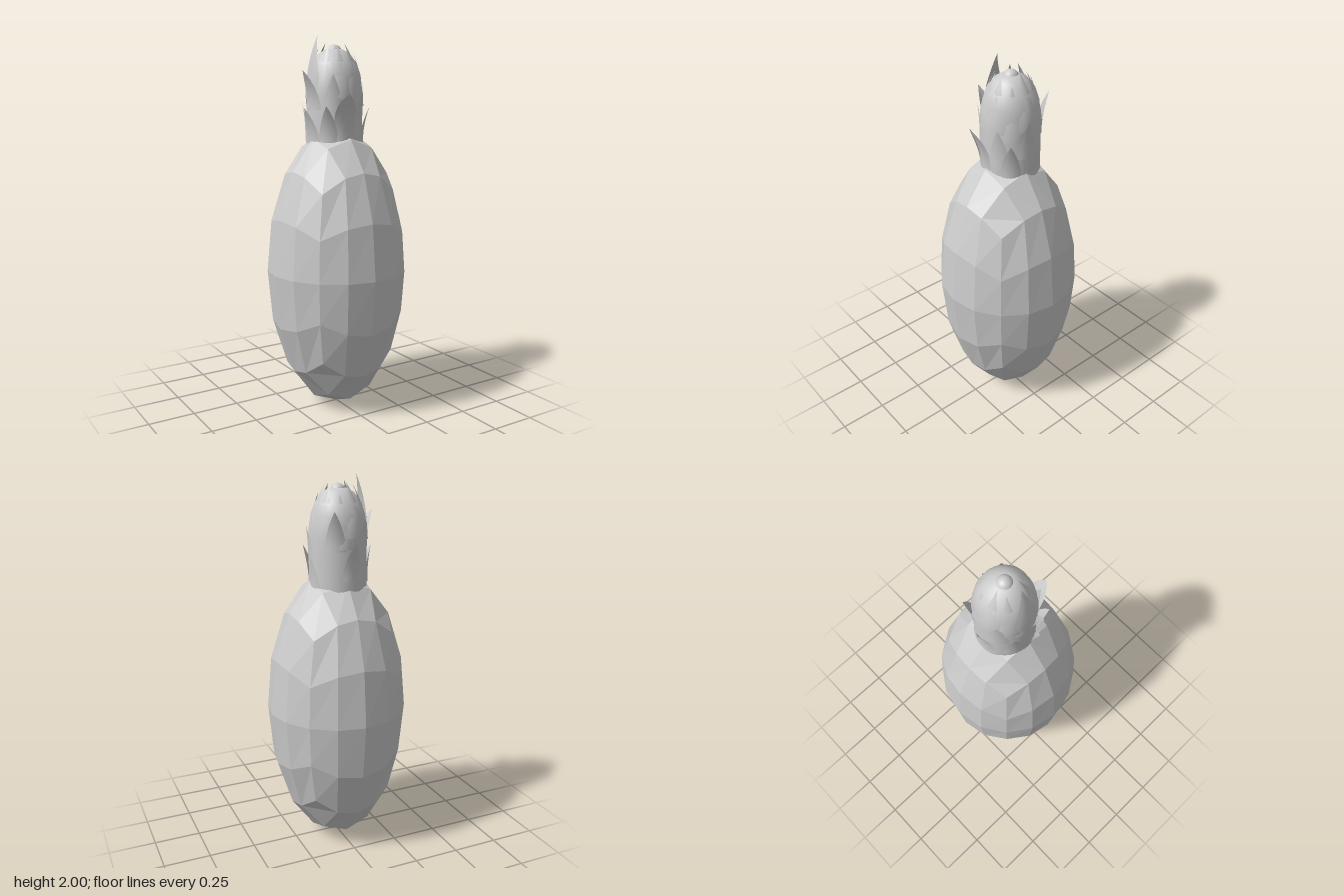
import * as THREE from 'three';
import { mergeVertices } from 'three/addons/utils/BufferGeometryUtils.js';

const CROWN_Z = -0.02;
const CROWN_R = 0.148;

// Faceted fruit: a cube grid pushed onto an ellipsoid
function makeBody(material) {
  const geo = new THREE.BoxGeometry(2, 2, 2, 4, 4, 4);
  const pos = geo.attributes.position;
  const v = new THREE.Vector3();
  const warp = (c) => Math.tan(c * Math.PI / 4);
  for (let i = 0; i < pos.count; i++) {
    v.fromBufferAttribute(pos, i);
    v.set(warp(v.x), warp(v.y), warp(v.z)).normalize();
    pos.setXYZ(i, v.x * 0.375, v.y * 0.765 + 0.765, v.z * 0.375);
  }
  geo.computeVertexNormals();
  const mesh = new THREE.Mesh(geo, material);
  mesh.name = 'fruitBody';
  return mesh;
}

// A leaf hugging the crown, narrowing to a tip that splays out or curls in
function leafGeometry([x, y, z], length, width, power = 1.6) {
  const rows = 8, cols = 6, points = [], index = [];
  const tipAngle = Math.atan2(x, z - CROWN_Z);
  const tipR = Math.hypot(x, z - CROWN_Z);
  for (let i = 0; i <= rows; i++) {
    const t = i / rows;
    const r = CROWN_R + (tipR - CROWN_R) * t * t;
    const half = width * (1 - Math.pow(t, power)) / CROWN_R;
    for (let j = 0; j <= cols; j++) {
      const u = (j / cols) * 2 - 1;
      const a = tipAngle + u * half;
      const rr = r + 0.006 * (1 - u * u) * (1 - t);
      points.push(rr * Math.sin(a), y - length * (1 - t), CROWN_Z + rr * Math.cos(a));
      if (i < rows && j < cols) {
        const k = i * (cols + 1) + j, n = k + cols + 1;
        index.push(k, k + 1, n + 1, k, n + 1, n);
      }
    }
  }
  const geo = new THREE.BufferGeometry();
  geo.setAttribute('position', new THREE.Float32BufferAttribute(points, 3));
  geo.setIndex(index);
  const welded = mergeVertices(geo, 1e-5);
  welded.computeVertexNormals();
  return welded;
}

export function createModel() {
  const model = new THREE.Group();
  model.name = 'pineapple';
  const flat = new THREE.MeshStandardMaterial({ color: 0xcccccc, flatShading: true });
  const smooth = new THREE.MeshStandardMaterial({ color: 0xcccccc, side: THREE.DoubleSide });
  model.add(makeBody(flat));

  const crown = new THREE.Group();
  crown.name = 'crown';
  model.add(crown);

  // Crown core with domed top
  const profile = [[0.15, 1.42], [0.148, 1.6], [0.145, 1.74], [0.138, 1.8], [0.118, 1.86],
    [0.08, 1.91], [0.045, 1.93], [0, 1.935]].map(([r, y]) => new THREE.Vector2(r, y));
  const core = new THREE.Mesh(new THREE.LatheGeometry(profile, 32), smooth);
  core.name = 'crownCore';
  core.position.z = CROWN_Z;
  crown.add(core);

  // Central bud
  const bud = new THREE.Mesh(new THREE.SphereGeometry(0.04, 20, 12), smooth);
  bud.name = 'crownBud';
  bud.position.set(0, 1.915, CROWN_Z);
  crown.add(bud);

  const addLeaf = (name, ...args) => {
    const leaf = new THREE.Mesh(leafGeometry(...args), smooth);
    leaf.name = name;
    crown.add(leaf);
  };

  // Broad front leaf with a rounded tip
  addLeaf('frontLeaf', [-0.045, 1.7, 0.2], 0.24, 0.055, 4);

  // Outward leaves: tip position
  const outer = [
    [-0.2, 1.63, 0.01], [-0.14, 1.64, 0.13], [0.145, 1.64, 0.1], [0.165, 1.6, -0.05],
    [-0.02, 1.68, -0.21], [-0.15, 1.66, -0.1],
    [-0.21, 1.82, 0.015], [0.165, 1.75, 0.0], [0.09, 1.83, -0.185], [0.08, 1.71, 0.13],
    [-0.09, 1.8, 0.115], [-0.09, 1.79, -0.155],
  ];
  outer.forEach((tip) => addLeaf('outerLeaf', tip, 0.2, 0.055));

  // Upright leaves curling in around the top
  addLeaf('tallLeaf', [-0.1, 2.0, -0.02], 0.3, 0.075);
  const count = 10;
  for (let i = 0; i < count; i++) {
    const a = (i / count) * Math.PI * 2 + 0.3;
    const r = [0.075, 0.1, 0.06][i % 3];
    const y = [1.95, 1.91, 1.965][i % 3];
    addLeaf('innerLeaf', [r * Math.sin(a), y, CROWN_Z + r * Math.cos(a)], 0.27, 0.065);
  }

  return model;
}
